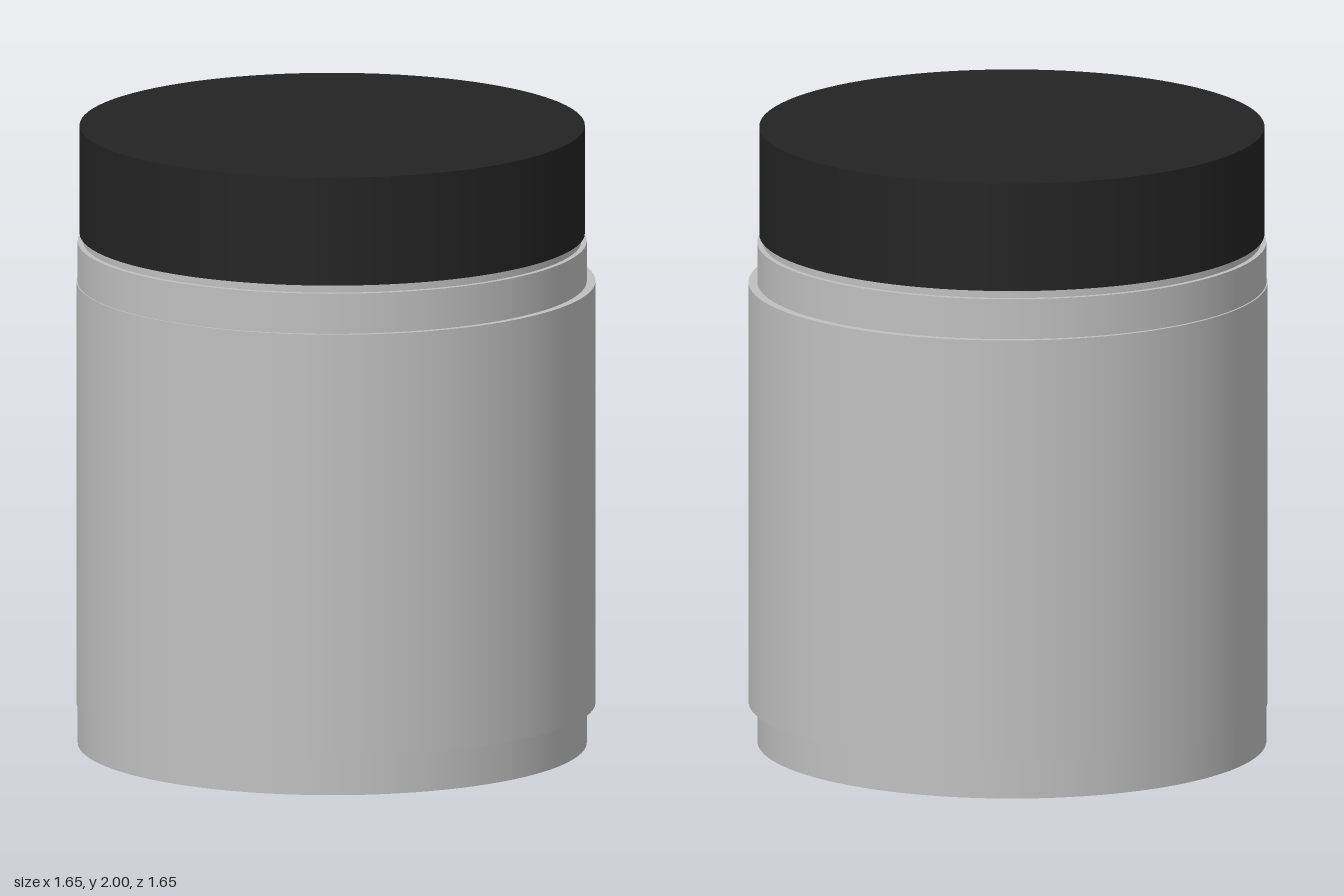
import * as THREE from 'three';

export function createModel() {
  const model = new THREE.Group();
  model.name = 'jar';

  const grey = new THREE.MeshStandardMaterial({ name: 'light grey', color: 0xc0c0c0 });
  const black = new THREE.MeshStandardMaterial({ name: 'lid black', color: 0x232323 });

  // Upright closed cylinder between two heights
  function drum(name, radius, bottom, top, material, x, z) {
    const geometry = new THREE.CylinderGeometry(radius, radius, top - bottom, 96);
    const mesh = new THREE.Mesh(geometry, material);
    mesh.name = name;
    mesh.position.set(x, (bottom + top) / 2, z);
    model.add(mesh);
  }

  // The jar sits slightly off centre inside its wrap-around sleeve
  const x = -0.006, z = 0.011;
  drum('body', 0.807, 0, 1.625, grey, x, z);
  drum('neck', 0.79, 1.62, 1.655, grey, x, z);
  drum('lid', 0.801, 1.65, 2, black, x, z);
  drum('labelSleeve', 0.823, 0.13, 1.495, grey, 0, 0);

  return model;
}
